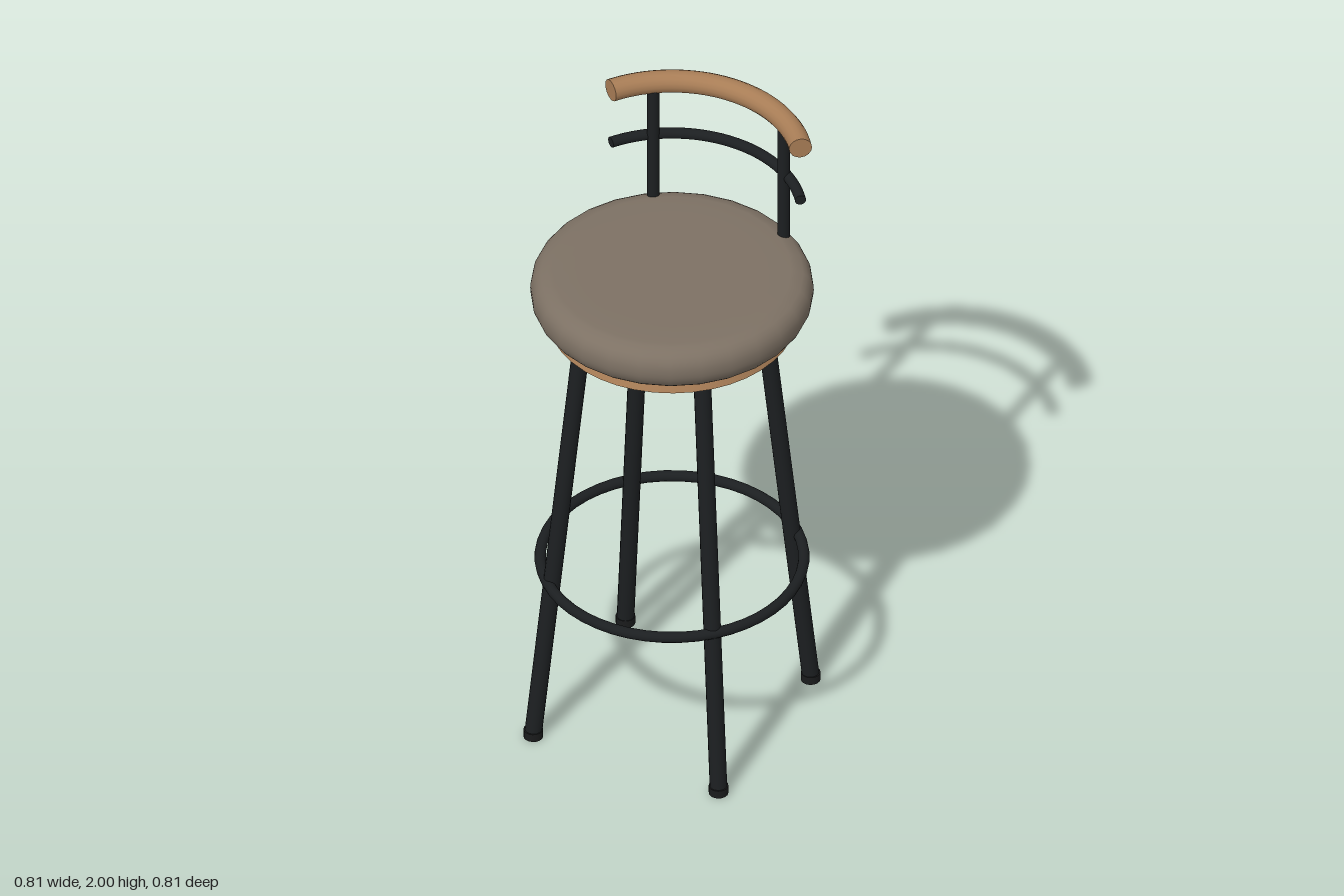
import * as THREE from 'three';

export function createModel() {
  const model = new THREE.Group();
  const mat = (color) => new THREE.MeshStandardMaterial({ color });
  const wood = mat(0xa87d56), fabric = mat(0x7d7164), metal = mat(0x1c1f21), rubber = mat(0x1a1b1c);

  const add = (name, geometry, material, parent = model) => {
    const mesh = new THREE.Mesh(geometry, material);
    mesh.name = name;
    parent.add(mesh);
    return mesh;
  };

  // Round bar between two points
  const bar = (name, a, b, radius, material) => {
    const dir = b.clone().sub(a);
    const mesh = add(name, new THREE.CylinderGeometry(radius, radius, dir.length(), 16), material);
    mesh.position.copy(a).add(b).multiplyScalar(0.5);
    mesh.quaternion.setFromUnitVectors(new THREE.Vector3(0, 1, 0), dir.normalize());
    return mesh;
  };

  // Horizontal arc around the back of the seat, with closed ends
  const backArc = (name, y, radius, tube, half, material) => {
    const group = new THREE.Group();
    group.name = name;
    const arc = add(name + 'Bar', new THREE.TorusGeometry(radius, tube, 16, 32, half * 2), material, group);
    arc.rotation.set(-Math.PI / 2, 0, Math.PI / 2 - half);
    for (const s of [-1, 1]) {
      const cap = add(name + 'End', new THREE.CircleGeometry(tube, 16), material, group);
      cap.position.set(s * radius * Math.sin(half), 0, -radius * Math.cos(half));
      // face along the tangent, away from the arc
      cap.rotation.y = Math.atan2(s * Math.cos(half), Math.sin(half));
    }
    group.position.y = y;
    model.add(group);
  };

  // Padded seat with rounded rim
  const profile = [new THREE.Vector2(0, 1.437), new THREE.Vector2(0.33, 1.437)];
  const rim = new THREE.SplineCurve([
    [0.35, 1.438], [0.379, 1.45], [0.398, 1.478], [0.403, 1.507],
    [0.398, 1.537], [0.378, 1.562], [0.34, 1.574],
  ].map(([x, y]) => new THREE.Vector2(x, y)));
  profile.push(...rim.getPoints(14), new THREE.Vector2(0.27, 1.576), new THREE.Vector2(0, 1.576));
  add('seatCushion', new THREE.LatheGeometry(profile, 28), fabric);

  // Wooden board under the cushion
  add('seatBoard', new THREE.CylinderGeometry(0.338, 0.354, 0.036, 40), wood).position.y = 1.423;

  // Splayed legs with feet
  for (const sx of [-1, 1]) {
    for (const sz of [-1, 1]) {
      const at = (d, y) => new THREE.Vector3(sx * d, y, sz * d);
      bar('leg', at(0.294, 0.015), at(0.188, 1.42), 0.025, metal);
      add('foot', new THREE.CylinderGeometry(0.028, 0.028, 0.026, 16), rubber)
        .position.copy(at(0.294, 0.013));
    }
  }

  // Foot ring around the legs
  const ring = add('footRing', new THREE.TorusGeometry(0.375, 0.016, 12, 48), metal);
  ring.rotation.x = Math.PI / 2;
  ring.position.y = 0.543;

  // Back posts and rails
  for (const s of [-1, 1]) {
    bar('backPost', new THREE.Vector3(s * 0.207, 1.5, -0.296), new THREE.Vector3(s * 0.207, 1.96, -0.296), 0.018, metal);
  }
  const half = THREE.MathUtils.degToRad(54.5);
  backArc('middleRail', 1.78, 0.37, 0.016, half, metal);
  backArc('topRail', 1.967, 0.37, 0.033, half, wood);

  return model;
}
